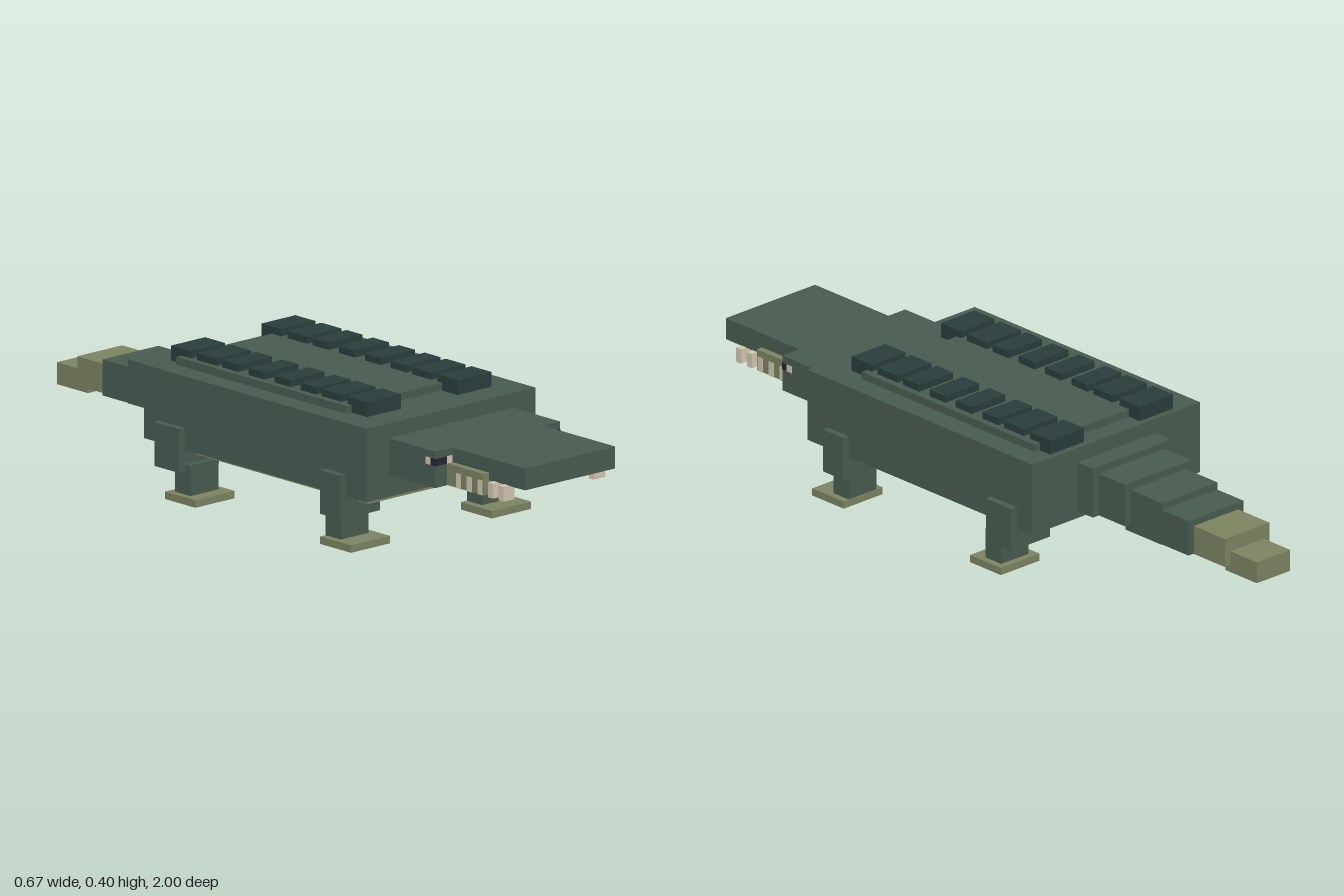
import * as THREE from 'three';

const paint = (color) => new THREE.MeshStandardMaterial({ color, flatShading: true });

export function createModel() {
  const model = new THREE.Group();
  const green = paint(0x485c51), olive = paint(0x7c8462), dark = paint(0x2a3e3c);
  const ivory = paint(0xd2c8b0), black = paint(0x22262f);

  // Box given by its extents along each axis
  function box(name, material, [x0, x1], [y0, y1], [z0, z1]) {
    const mesh = new THREE.Mesh(new THREE.BoxGeometry(x1 - x0, y1 - y0, z1 - z0), material);
    mesh.position.set((x0 + x1) / 2, (y0 + y1) / 2, (z0 + z1) / 2);
    mesh.name = name;
    model.add(mesh);
  }
  // Box centred on x = 0
  const mid = (name, material, half, y, z) => box(name, material, [-half, half], y, z);
  // Box on the left, mirrored to the right
  function pair(name, material, [x0, x1], y, z) {
    box(name + 'Left', material, [x0, x1], y, z);
    box(name + 'Right', material, [-x1, -x0], y, z);
  }

  // Trunk
  mid('body', green, 0.313, [0.147, 0.355], [-0.375, 0.52]);
  mid('belly', olive, 0.27, [0.126, 0.15], [-0.235, 0.48]);
  mid('backPlate', green, 0.25, [0.35, 0.377], [-0.315, 0.37]);

  // Two rows of back scutes: [centre z, length]
  const scutes = [[-0.317, 0.08], [-0.212, 0.08], [-0.119, 0.064], [-0.013, 0.064],
    [0.092, 0.064], [0.196, 0.064], [0.289, 0.08], [0.393, 0.08]];
  scutes.forEach(([z, len], i) =>
    pair('scute' + (i + 1), dark, [0.104, 0.23], [0.355, 0.397], [z - len / 2, z + len / 2]));

  // Head and jaws
  mid('head', green, 0.23, [0.21, 0.313], [0.51, 0.708]);
  mid('upperJaw', green, 0.167, [0.251, 0.313], [0.7, 1]);
  mid('lowerJaw', olive, 0.187, [0.211, 0.272], [0.7, 0.855]);
  mid('tongue', dark, 0.083, [0.23, 0.251], [0.85, 0.875]);
  for (let i = 0; i < 5; i++) {
    const z = 0.927 - i * 0.043;
    pair('tooth' + (i + 1), ivory, [0.147, 0.188], [0.21, 0.252], [z - 0.01, z + 0.01]);
  }

  // Eyes wrap round the front corners of the head
  pair('pupil', black, [0.188, 0.231], [0.272, 0.292], [0.69, 0.709]);
  pair('eyeWhiteSide', ivory, [0.2, 0.231], [0.272, 0.292], [0.67, 0.69]);
  pair('eyeWhiteFront', ivory, [0.167, 0.188], [0.272, 0.292], [0.69, 0.709]);

  // Legs: z ranges of thigh, shin and foot
  const legs = [
    ['front', [0.355, 0.438], [0.356, 0.417], [0.355, 0.48], 0.09],
    ['back', [-0.312, -0.21], [-0.25, -0.188], [-0.27, -0.147], 0.107],
  ];
  for (const [name, thigh, shin, foot, shinTop] of legs) {
    pair(name + 'Thigh', green, [0.188, 0.333], [0.085, 0.209], thigh);
    pair(name + 'Shin', green, [0.21, 0.313], [0.015, shinTop], shin);
    pair(name + 'Foot', olive, [0.188, 0.333], [0, 0.021], foot);
  }

  // Stepped tail: [half width, bottom, top, front z, back z, material]
  const tail = [
    [0.146, 0.168, 0.313, -0.37, -0.437, green],
    [0.125, 0.169, 0.292, -0.43, -0.542, green],
    [0.104, 0.147, 0.271, -0.522, -0.667, green],
    [0.103, 0.148, 0.25, -0.66, -0.771, green],
    [0.083, 0.147, 0.23, -0.765, -0.895, olive],
    [0.0625, 0.126, 0.188, -0.875, -1, olive],
  ];
  tail.forEach(([half, y0, y1, front, back, material], i) =>
    mid('tailSegment' + (i + 1), material, half, [y0, y1], [back, front]));

  return model;
}
